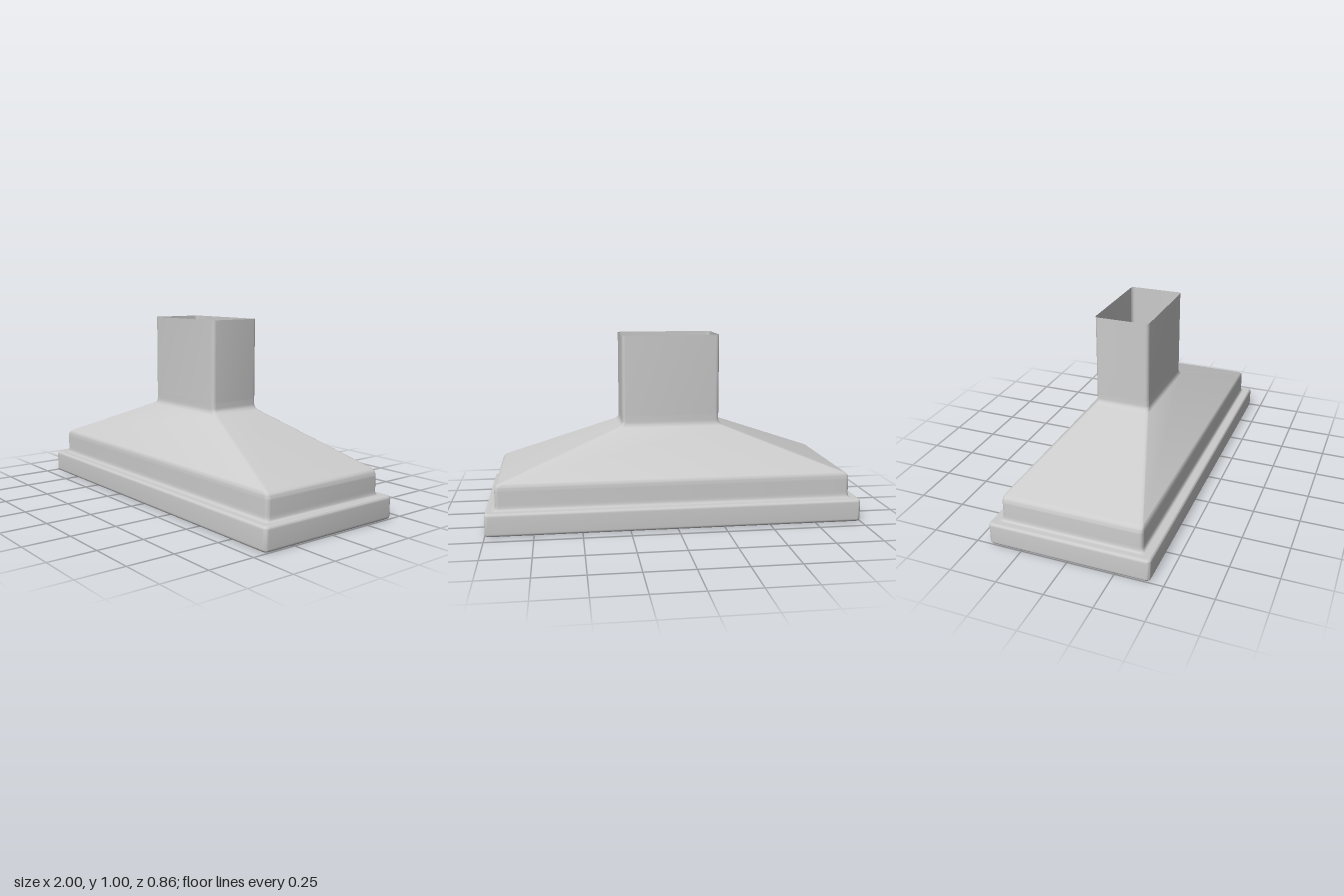
import * as THREE from 'three';
import { toCreasedNormals } from 'three/addons/utils/BufferGeometryUtils.js';

const material = new THREE.MeshStandardMaterial({ color: 0xcccccc, side: THREE.DoubleSide });

// Rounds the inner corners of a profile of [halfWidth, height, halfDepth] points
function soften(points, radius, steps = 6) {
  const p = points.map((a) => new THREE.Vector3(...a));
  const out = [p[0]];
  for (let i = 1; i < p.length - 1; i++) {
    const reach = (q) => p[i].clone().add(
      q.clone().sub(p[i]).setLength(Math.min(radius, q.distanceTo(p[i]) * 0.45)));
    out.push(...new THREE.QuadraticBezierCurve3(reach(p[i - 1]), p[i], reach(p[i + 1])).getPoints(steps));
  }
  out.push(p[p.length - 1]);
  return out;
}

// Lofts rounded rectangles along a profile
function loft(name, points, radius, cornerRadius = 0.02) {
  const profile = soften(points, radius);
  const arc = 5, count = 4 * (arc + 1);
  const position = [], index = [];
  for (const { x, y, z } of profile) {
    for (let c = 0; c < 4; c++) {
      const sx = c === 0 || c === 3 ? 1 : -1, sz = c < 2 ? 1 : -1;
      for (let k = 0; k <= arc; k++) {
        const a = (c + k / arc) * Math.PI / 2;
        position.push(
          sx * (x - cornerRadius) + Math.cos(a) * cornerRadius, y,
          sz * (z - cornerRadius) + Math.sin(a) * cornerRadius);
      }
    }
  }
  for (let i = 0; i < profile.length - 1; i++) {
    for (let j = 0; j < count; j++) {
      const a = i * count + j, b = i * count + (j + 1) % count;
      index.push(a, a + count, b, b, a + count, b + count);
    }
  }
  const geometry = new THREE.BufferGeometry();
  geometry.setAttribute('position', new THREE.Float32BufferAttribute(position, 3));
  geometry.setIndex(index);
  const mesh = new THREE.Mesh(toCreasedNormals(geometry, Math.PI / 5), material);
  mesh.name = name;
  return mesh;
}

export function createModel() {
  const group = new THREE.Group();
  group.name = 'rangeHood';

  // Sloping inside walls, from the ceiling panel down to the rim
  group.add(loft('innerLiner', [
    [0.55, 0.32, 0.19], [0.95, 0.03, 0.38], [0.965, 0.03, 0.395], [0.965, 0.01, 0.395],
  ], 0.012));

  // Bottom rim, outer band and ledge
  group.add(loft('baseBand', [
    [0.965, 0.01, 0.395], [0.965, 0, 0.395], [1, 0, 0.43], [1, 0.122, 0.43], [0.97, 0.122, 0.4],
  ], 0.018));

  // Upright collar and sloping canopy
  group.add(loft('canopy', [
    [0.97, 0.122, 0.4], [0.948, 0.122, 0.375], [0.948, 0.252, 0.375],
    [0.267, 0.508, 0.149], [0.267, 0.56, 0.149],
  ], 0.03));

  // Open chimney
  group.add(loft('chimney', [[0.267, 0.56, 0.149], [0.267, 0.997, 0.149]], 0.02));

  // Flat panel closing the inside
  const panel = new THREE.Mesh(new THREE.BoxGeometry(1.1, 0.004, 0.38), material);
  panel.name = 'ceilingPanel';
  panel.position.y = 0.32;
  group.add(panel);

  return group;
}
